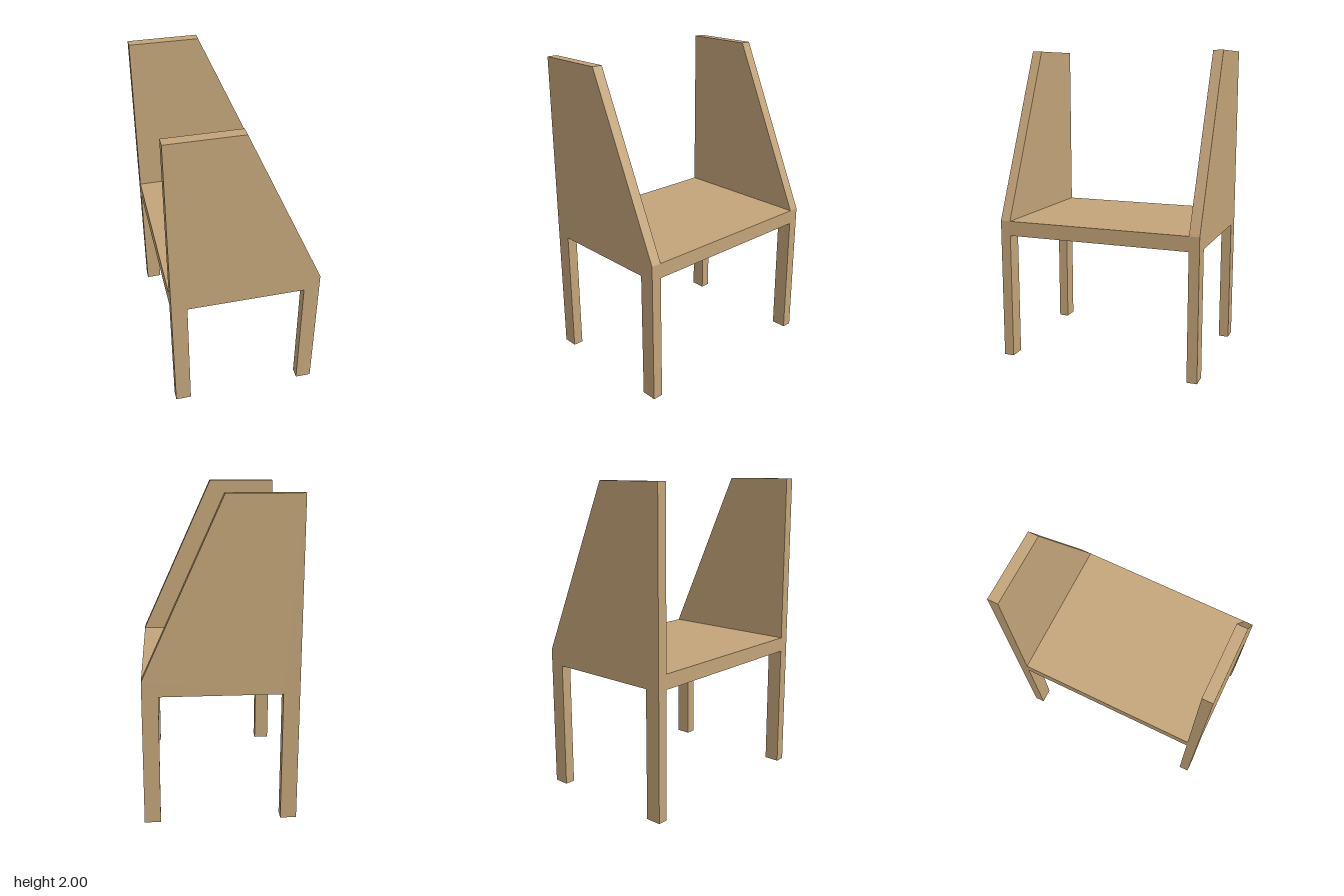
import * as THREE from 'three';

export function createModel() {
  const model = new THREE.Group();
  model.name = 'bench';

  const wood = new THREE.MeshStandardMaterial({ color: 0xc3a478 });
  wood.name = 'light wood';

  const halfWidth = 0.473, legInner = 0.373;
  const seatBottom = 0.82, seatTop = 0.915;
  const innerZ = 0.598, panelThickness = 0.066;

  // Side panel outline: two legs, a straight edge and a sloping edge
  const outline = new THREE.Shape([
    [-halfWidth, 0], [-legInner, 0], [-legInner, seatBottom],
    [legInner, seatBottom], [legInner, 0], [halfWidth, 0],
    [halfWidth, seatTop], [-0.018, 2], [-halfWidth, 2],
  ].map(([x, y]) => new THREE.Vector2(x, y)));
  const panelGeometry = new THREE.ExtrudeGeometry(outline, {
    depth: panelThickness, bevelEnabled: false,
  });

  // Matching panels at the front and back
  for (const [name, z] of [['frontPanel', innerZ], ['backPanel', -innerZ - panelThickness]]) {
    const panel = new THREE.Mesh(panelGeometry, wood);
    panel.name = name;
    panel.position.z = z;
    model.add(panel);
  }

  // Seat board between the panels
  const seat = new THREE.Mesh(
    new THREE.BoxGeometry(halfWidth * 2, seatTop - seatBottom, innerZ * 2), wood);
  seat.name = 'seat';
  seat.position.y = (seatTop + seatBottom) / 2;
  model.add(seat);

  return model;
}
